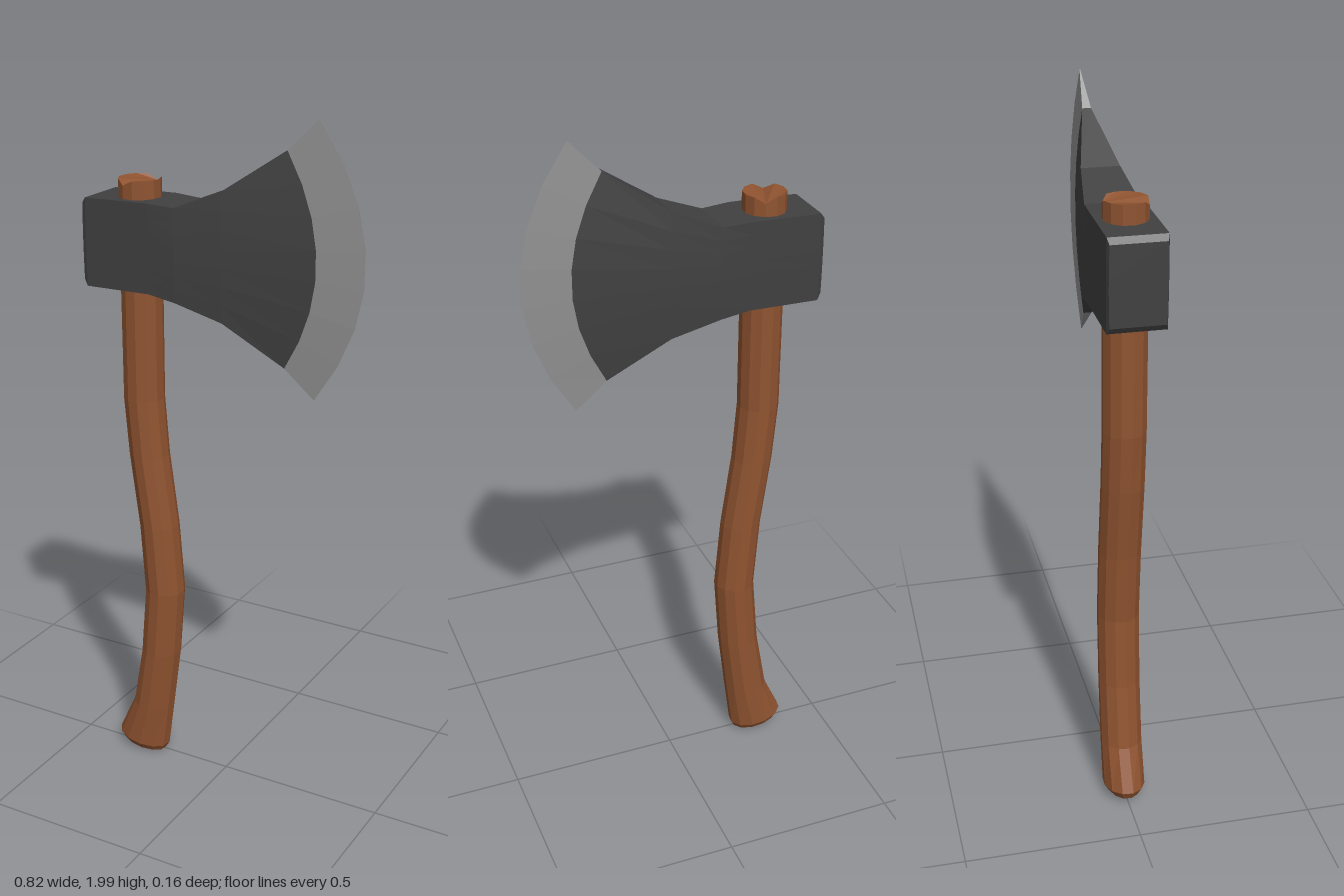
import * as THREE from 'three';

// Skin closed rings (counter-clockwise seen from the end) and cap both ends.
function loft(rings, capStart = 0) {
  const pos = [];
  const tri = (...pts) => pts.forEach((p) => pos.push(p.x, p.y, p.z));
  const n = rings[0].length;
  for (let i = 0; i < rings.length - 1; i++) {
    for (let j = 0; j < n; j++) {
      const k = (j + 1) % n;
      const a = rings[i][j], b = rings[i][k], c = rings[i + 1][k], d = rings[i + 1][j];
      tri(a, b, c);
      tri(a, c, d);
    }
  }
  const first = rings[0], last = rings[rings.length - 1];
  for (let j = 1; j < n - 1; j++) {
    const p = (capStart + j) % n, q = (capStart + j + 1) % n;
    tri(first[capStart], first[q], first[p]);
    tri(last[capStart], last[p], last[q]);
  }
  const geo = new THREE.BufferGeometry();
  geo.setAttribute('position', new THREE.Float32BufferAttribute(pos, 3));
  geo.computeVertexNormals();
  return geo;
}

function part(name, geo, color) {
  const mesh = new THREE.Mesh(geo, new THREE.MeshStandardMaterial({ color, flatShading: true }));
  mesh.name = name;
  return mesh;
}

// Horizontal handle ring; tilt slopes it along x.
const SIDES = 12;
function handleRing([y, cx, rx, rz, tilt = 0]) {
  return Array.from({ length: SIDES }, (_, i) => {
    const a = ((i + 0.33) / SIDES) * Math.PI * 2;
    const dx = Math.cos(a) * rx;
    return new THREE.Vector3(cx + dx, y + tilt * dx, -Math.sin(a) * rz);
  });
}

// Upright head section, bowed forward in the middle and thinner at top and bottom.
const ROWS = 8;
function headRing([x, bow, yBottom, yTop, zMid, zEnd]) {
  const side = (sign) => Array.from({ length: ROWS }, (_, i) => {
    const s = sign * (1 - (2 * i) / (ROWS - 1));
    const m = 1 - s * s;
    return new THREE.Vector3(
      x + bow * m,
      THREE.MathUtils.lerp(yBottom, yTop, (s + 1) / 2),
      sign * THREE.MathUtils.lerp(zEnd, zMid, m));
  });
  return [...side(1), ...side(-1)];
}

export function createModel() {
  const group = new THREE.Group();
  group.name = 'axe';

  // Curved wooden handle: y, centre x, radius x, radius z, tilt
  const handleRings = [
    [0.014, -0.29, 0.07, 0.045, -0.13],
    [0.037, -0.291, 0.083, 0.06, -0.16],
    [0.17, -0.254, 0.065, 0.06],
    [0.36, -0.225, 0.06, 0.06],
    [0.57, -0.208, 0.059, 0.06],
    [0.78, -0.224, 0.058, 0.06],
    [1.0, -0.254, 0.058, 0.06],
    [1.17, -0.268, 0.059, 0.06],
    [1.8, -0.268, 0.06, 0.06],
  ].map(handleRing);
  // Shallow split across the top
  const top = handleRings[handleRings.length - 1];
  top[2].y -= 0.015;
  top[8].y -= 0.015;
  group.add(part('handle', loft(handleRings, 2), 0x8f5330));

  // Head: x, bow, bottom y, top y, half thickness at middle and ends
  const inner = [0.185, 0.09, 1.33, 1.915, 0.015, 0.012];
  const headRings = [
    [-0.41, 0, 1.515, 1.73, 0.075, 0.073],
    [-0.398, 0, 1.498, 1.746, 0.079, 0.078],
    [-0.2, 0, 1.5, 1.75, 0.079, 0.078],
    [-0.12, 0, 1.485, 1.745, 0.077, 0.073],
    [0.015, 0, 1.442, 1.8, 0.06, 0.053],
    inner,
  ].map(headRing);
  group.add(part('axeHead', loft(headRings), 0x404040));

  // Ground cutting edge
  const bladeRings = [inner, [0.27, 0.138, 1.25, 2.0, 0.002, 0.001]].map(headRing);
  group.add(part('cuttingEdge', loft(bladeRings), 0x909090));

  return group;
}
